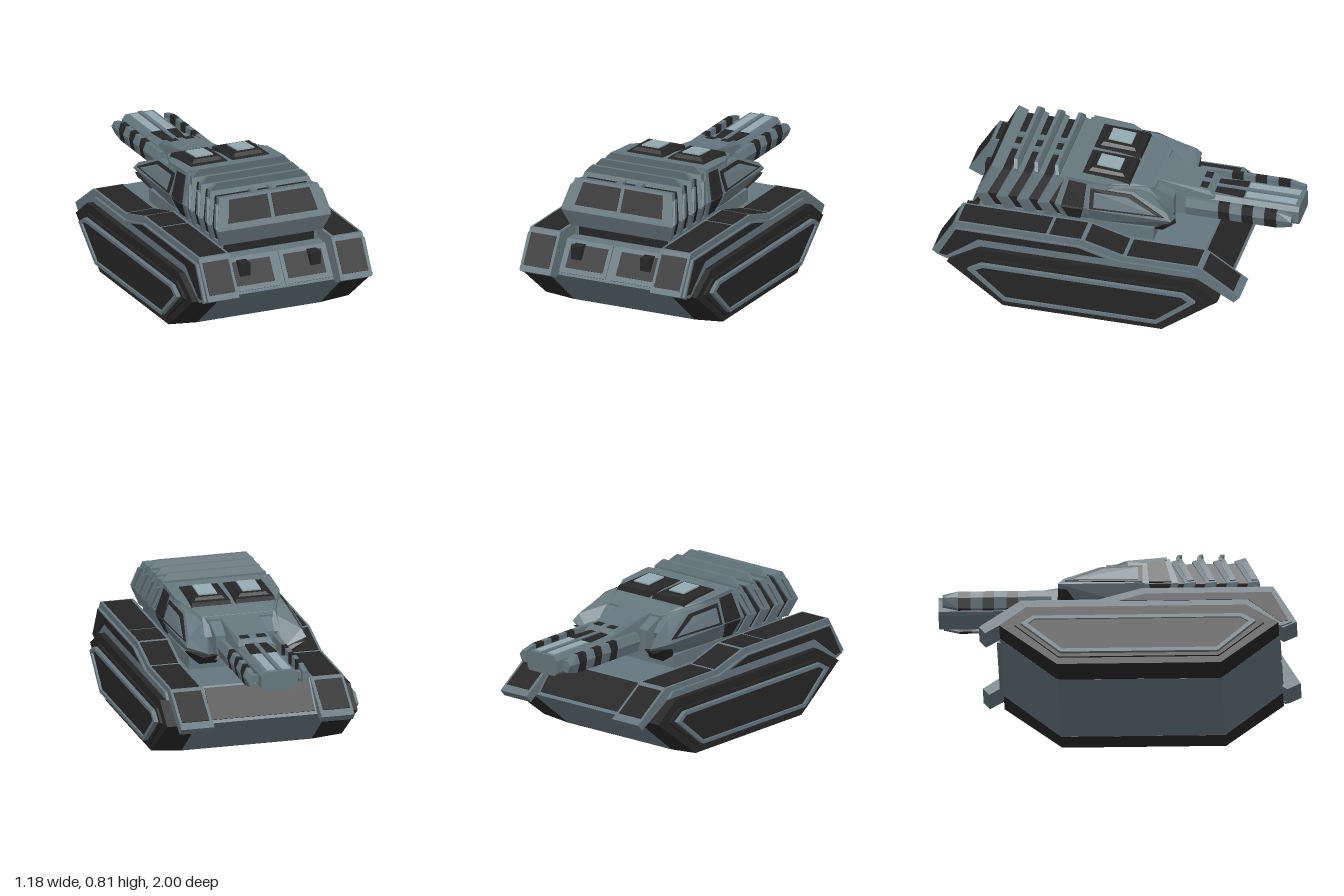
import * as THREE from 'three';
import { ConvexGeometry } from 'three/addons/geometries/ConvexGeometry.js';

export function createModel() {
  const root = new THREE.Group();
  const paint = (name, color) => Object.assign(new THREE.MeshStandardMaterial({ color }), { name });
  const grey = paint('armour grey', 0x65767e);
  const black = paint('panel black', 0x262626);
  const light = paint('pale glass', 0x93a8b0);
  const sides = [1, -1];

  const add = (name, geometry, material) => {
    const mesh = new THREE.Mesh(geometry, material);
    mesh.name = name;
    root.add(mesh);
    return mesh;
  };
  // Convex solid around corner points
  const hull = (name, pts, mat) => add(name, new ConvexGeometry(pts.map(p => new THREE.Vector3(...p))), mat);
  const box = (name, x0, x1, y0, y1, z0, z1, mat) => {
    const g = new THREE.BoxGeometry(Math.abs(x1 - x0), y1 - y0, Math.abs(z1 - z0));
    return add(name, g.translate((x0 + x1) / 2, (y0 + y1) / 2, (z0 + z1) / 2), mat);
  };
  // Side profile of [z, y] points, extruded across x
  const profile = (name, pts, x0, x1, mat, hole) => {
    const shape = new THREE.Shape(pts.map(p => new THREE.Vector2(...p)));
    if (hole) shape.holes.push(new THREE.Path(hole.map(p => new THREE.Vector2(...p))));
    const g = new THREE.ExtrudeGeometry(shape, { depth: Math.abs(x1 - x0), bevelEnabled: false });
    return add(name, g.rotateY(-Math.PI / 2).translate(Math.max(x0, x1), 0, 0), mat);
  };
  // Thin plate lying on a four-cornered face
  const plate = (name, pts, mat, t = 0.004) => {
    const v = pts.map(p => new THREE.Vector3(...p));
    const n = v[1].clone().sub(v[0]).cross(v[2].clone().sub(v[0])).normalize().multiplyScalar(t);
    return add(name, new ConvexGeometry(v.flatMap(p => [p.clone().add(n), p.clone().sub(n)])), mat);
  };
  // Points mirrored in x
  const both = pts => pts.flatMap(([x, y, z]) => [[x, y, z], [-x, y, z]]);

  // Lower hull and raised deck
  const belly = [[0.9, 0.255], [0.58, 0], [-0.33, 0], [-0.65, 0.255], [-0.5, 0.365], [0.72, 0.365]];
  profile('lowerHull', belly, -0.375, 0.375, grey);
  profile('upperHull', [[0.9, 0.265], [0.79, 0.435], [-0.52, 0.43], [-0.67, 0.26]], -0.312, 0.312, grey);
  plate('noseSlopePanel', [[-0.3, 0.42, -0.529], [0.3, 0.42, -0.529], [0.3, 0.275, -0.657], [-0.3, 0.275, -0.657]], black);
  for (const s of sides) {
    const onTail = (x, y) => [s * x, y, 0.9 - (y - 0.265) / 0.17 * 0.11];
    const tail = (x0, x1, y0, y1) => [onTail(x0, y0), onTail(x1, y0), onTail(x1, y1), onTail(x0, y1)];
    plate('tailFrame', tail(0.018, 0.305, 0.27, 0.435), grey, 0.009);
    plate('tailPanel', tail(0.042, 0.272, 0.295, 0.412), black, 0.012);
    box('tailLatch', s * 0.185, s * 0.245, 0.35, 0.425, 0.81, 0.875, black);
  }

  // Track units with framed side panels
  const ringBase = [[0.82, 0.25], [0.715, 0.312], [-0.475, 0.312], [-0.565, 0.25], [-0.32, 0.053], [0.57, 0.053]];
  const ringOut = [[0.775, 0.25], [0.7, 0.295], [-0.462, 0.295], [-0.53, 0.25], [-0.31, 0.072], [0.565, 0.072]];
  const ringIn = [[0.735, 0.247], [0.688, 0.275], [-0.453, 0.275], [-0.49, 0.247], [-0.3, 0.092], [0.558, 0.092]];
  for (const s of sides) {
    hull('trackBody', belly.flatMap(([z, y]) => [[s * 0.376, y, z], [s * 0.55, y < 0.1 ? 0.015 : y, z]]), black);
    profile('trackSideStep', ringBase, s * 0.54, s * 0.565, black);
    profile('trackSideFrame', ringOut, s * 0.56, s * 0.59, grey, ringIn);
    profile('trackSidePanel', ringIn, s * 0.56, s * 0.578, black);
  }

  // Fenders with inset top, end and side panels
  const ridge = [[1, 0.28], [0.87, 0.497], [0.14, 0.497], [-0.1, 0.43], [-0.53, 0.43], [-0.765, 0.27]];
  const ridgeY = z => {
    const i = Math.max(1, ridge.findIndex(p => p[0] <= z));
    const [a, b] = [ridge[i - 1], ridge[i]];
    return a[1] + (b[1] - a[1]) * (a[0] - z) / (a[0] - b[0]);
  };
  const bays = [[0.982, 0.885], [0.852, 0.35], [0.33, 0.15], [0.125, -0.092], [-0.115, -0.518], [-0.55, -0.725]];
  for (const s of sides) {
    profile('fender', [...ridge, [-0.73, 0.232], [-0.5, 0.365], [0.73, 0.365], [0.925, 0.245]], s * 0.31, s * 0.5, grey);
    for (const [a, b] of bays) {
      plate('fenderPanel', [[s * 0.328, ridgeY(a), a], [s * 0.485, ridgeY(a), a],
        [s * 0.485, ridgeY(b), b], [s * 0.328, ridgeY(b), b]], black);
    }
    profile('fenderSideRim', [[0.975, 0.275], [0.87, 0.462], [0.16, 0.462], [-0.08, 0.4], [-0.48, 0.4], [-0.52, 0.365],
      [0.72, 0.365], [0.91, 0.25]], s * 0.49, s * 0.515, grey);
    profile('fenderSidePanel', [[0.955, 0.28], [0.86, 0.455], [0.16, 0.455], [0.01, 0.412], [0.73, 0.412], [0.91, 0.275]],
      s * 0.51, s * 0.519, black);
  }

  // Turret ring
  box('turretNeck', -0.3, 0.3, 0.42, 0.505, -0.22, 0.71, grey);
  box('neckRearPanel', -0.275, 0.275, 0.44, 0.487, 0.705, 0.717, black);

  // Chevron ribs on the rear of the turret; e widens the outline
  const rib = (name, z0, z1, e0, e1, mat) => {
    const ring = (z, e) => [[0.292 + e, 0.757 + e, z], [0.338 + e, 0.6, z + 0.08], [0.3 + e, 0.5, z + 0.04]];
    const [a, b] = [ring(z0, e0), ring(z1, e1)];
    hull(name, both([a[0], a[1], b[0], b[1]]), mat);
    hull(name, both([a[1], a[2], b[1], b[2]]), mat);
  };
  rib('turretRearCore', 0.69, 0.24, -0.014, -0.014, black);
  for (let i = 0; i < 4; i++) {
    const z = 0.71 - i * 0.118;
    rib('turretRib', z, z - 0.062, 0.01, -0.004, grey);
    if (i) {
      const f = z - 0.012;
      hull('ribFin', both([[0.3, 0.755, f], [0.3, 0.772, f], [0.26, 0.81, f + 0.012], [0.3, 0.755, f - 0.02],
        [0.3, 0.772, f - 0.02], [0.26, 0.81, f - 0.008]]), grey);
    }
    for (const s of sides) {
      box('ribClamp', s * 0.04, s * 0.075, 0.735, 0.757, z - 0.115, z - 0.055, grey);
      plate('ribSideFin', [[s * 0.345, 0.61, z + 0.07], [s * 0.318, 0.73, z + 0.012],
        [s * 0.312, 0.73, z - 0.02], [s * 0.34, 0.61, z + 0.035]], grey, 0.008);
    }
  }
  // Rear windows
  for (const s of sides) {
    const at = (x, y) => [s * x, y, 0.79 - (y - 0.6) / 0.167 * 0.08];
    plate('rearWindow', [at(0.012, 0.633), at(0.272, 0.633), at(0.245, 0.752), at(0.012, 0.752)], black);
  }

  // Turret front body
  hull('turretFront', both([[0.295, 0.768, 0.29], [0.338, 0.6, 0.34], [0.295, 0.49, 0.3],
    [0.3, 0.752, 0.06], [0.335, 0.6, 0.05], [0.21, 0.715, -0.17], [0.22, 0.62, -0.25], [0.25, 0.475, -0.2]]), grey);
  hull('turretTopPlate', both([[0.305, 0.775, 0.275], [0.305, 0.755, 0.275], [0.3, 0.758, 0.05], [0.3, 0.735, 0.05],
    [0.225, 0.737, -0.09], [0.185, 0.705, -0.2], [0.185, 0.68, -0.2]]), grey);
  hull('frontBrow', both([[0.18, 0.7, -0.19], [0.17, 0.64, -0.3], [0.16, 0.5, -0.3], [0.18, 0.475, -0.2]]), grey);
  for (const s of sides) {
    const m = pts => pts.map(([x, y, z]) => [s * x, y, z]);
    // Cheek armour reaching forward beside the gun
    hull('cheek', m([[0.2, 0.73, 0.12], [0.3, 0.73, 0.15], [0.345, 0.6, 0.15], [0.285, 0.485, 0.12],
      [0.29, 0.725, -0.1], [0.19, 0.7, -0.15], [0.345, 0.6, -0.33], [0.325, 0.64, -0.3], [0.2, 0.6, -0.26],
      [0.25, 0.475, -0.25], [0.14, 0.475, -0.25], [0.22, 0.55, -0.33]]), grey);
    plate('cheekFrame', m([[0.306, 0.722, 0.14], [0.302, 0.715, -0.09], [0.338, 0.618, -0.29], [0.343, 0.605, 0.14]]), black, 0.007);
    plate('cheekPanel', m([[0.314, 0.703, 0.115], [0.31, 0.698, -0.075], [0.337, 0.625, -0.245], [0.34, 0.618, 0.115]]), grey, 0.012);
    hull('cheekChin', m([[0.338, 0.575, -0.328], [0.25, 0.53, -0.335], [0.25, 0.47, -0.255], [0.29, 0.5, -0.22],
      [0.15, 0.47, -0.25], [0.15, 0.53, -0.3], [0.345, 0.565, -0.28]]), black);
    plate('shoulderPanel', m([[0.3, 0.75, 0.265], [0.3, 0.742, 0.165], [0.338, 0.605, 0.175], [0.338, 0.605, 0.3]]), black, 0.008);
    plate('shoulderLowerPanel', m([[0.338, 0.598, 0.3], [0.338, 0.598, 0.175], [0.298, 0.51, 0.2], [0.298, 0.51, 0.27]]), black, 0.008);

    // Roof hatch: sloping black surround with a pale pane
    const cx = s * 0.127, cz = 0.07;
    const tier = (w, d, y) => [[cx - w, y, cz - d], [cx + w, y, cz - d], [cx + w, y + 0.012, cz + d], [cx - w, y + 0.012, cz + d]];
    hull('hatchBase', [...tier(0.117, 0.14, 0.735), ...tier(0.11, 0.132, 0.763)], black);
    hull('hatchSurround', [...tier(0.1, 0.115, 0.75), ...tier(0.075, 0.088, 0.779)], black);
    plate('hatchPane', tier(0.053, 0.066, 0.785), light);
  }

  // Gun mantlet
  hull('mantlet', both([[0.11, 0.71, -0.18], [0.1, 0.675, -0.26], [0.09, 0.67, -0.48], [0.1, 0.64, -0.52],
    [0.115, 0.52, -0.5], [0.12, 0.5, -0.2]]), grey);
  for (const s of sides) {
    plate('mantletStrip', [[s * 0.022, 0.677, -0.25], [s * 0.078, 0.677, -0.25], [s * 0.075, 0.672, -0.47], [s * 0.022, 0.672, -0.47]], black);
  }

  // Gun barrel with grooved top
  const gun = z => [[0.085, 0.645, z], [0.105, 0.62, z], [0.105, 0.55, z], [0.09, 0.532, z]];
  hull('gunBarrel', both([...gun(-0.35), ...gun(-1)]), grey);
  box('gunSpine', -0.012, 0.012, 0.64, 0.655, -0.99, -0.5, grey);
  for (const s of sides) {
    plate('gunDarkTop', [[s * 0.014, 0.647, -0.51], [s * 0.062, 0.647, -0.51], [s * 0.078, 0.647, -0.675], [s * 0.014, 0.647, -0.675]], black);
    plate('gunPaleTop', [[s * 0.018, 0.646, -0.685], [s * 0.068, 0.646, -0.685], [s * 0.068, 0.646, -0.975], [s * 0.018, 0.646, -0.975]], light);
    // Striped guard rails beside the barrel
    const cuts = [-0.37, -0.556, -0.62, -0.69, -0.754, -0.82, -0.89, -0.975];
    for (let i = 0; i + 1 < cuts.length; i++) {
      const [a, b] = [cuts[i], cuts[i + 1]], dark = i % 2 === 1, e = dark ? 0 : 0.006;
      const end = i === 6 ? 0.02 : 0;
      const ring = (z, t) => [[0.138, 0.645 - t, z], [0.165, 0.645 - t, z], [0.177 + e, 0.6, z], [0.165, 0.54 + t, z], [0.138, 0.54 + t, z]];
      hull(dark ? 'railStripe' : 'rail', [...ring(a, 0), ...ring(b, end)].map(([x, y, z]) => [s * x, y, z]), dark ? black : grey);
    }
    for (const z of [-0.42, -0.66, -0.92]) box('railBracket', s * 0.1, s * 0.14, 0.57, 0.61, z - 0.02, z + 0.02, grey);
  }
  return root;
}
